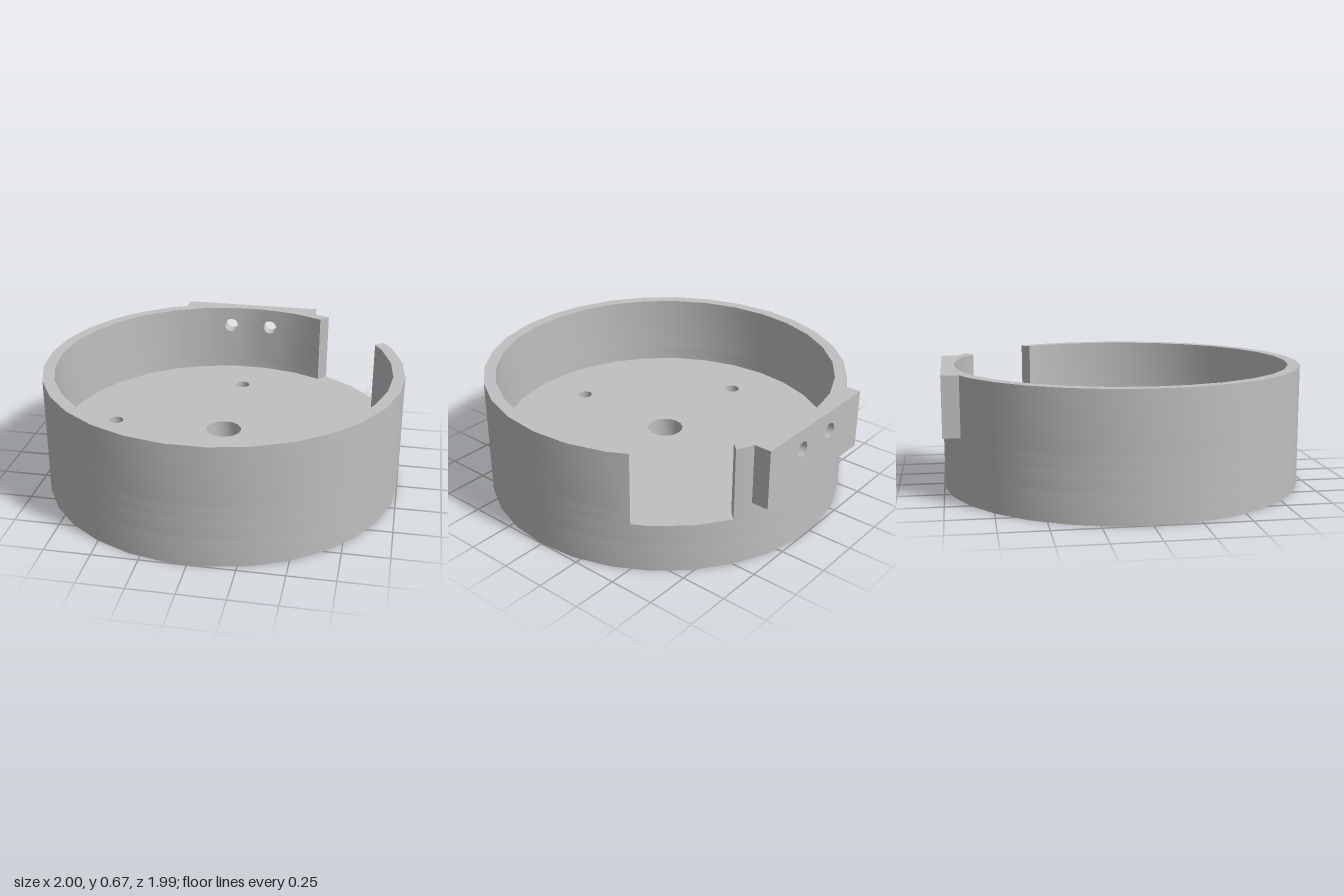
import * as THREE from 'three';
import { mergeGeometries, toCreasedNormals } from 'three/addons/utils/BufferGeometryUtils.js';

const OUTER = 1, INNER = 0.935, HEIGHT = 0.67, FLOOR = 0.27, BLOCK_Y = 0.34, POCKET = 0.16;
const rad = THREE.MathUtils.degToRad;

// Point at angle t (degrees) on a 30-sided circle of radius r
function onCircle(r, t) {
  const k = r * Math.cos(rad(6)) / Math.cos(rad(((t % 12) + 12) % 12 - 6));
  return new THREE.Vector2(k * Math.cos(rad(t)), k * Math.sin(rad(t)));
}

function arc(r, from, to) {
  const pts = [onCircle(r, from)];
  for (let t = Math.floor(from / 12) * 12 + 12; t < to - 0.01; t += 12) pts.push(onCircle(r, t));
  pts.push(onCircle(r, to));
  return pts;
}

function polygonHole(x, y, r, sides) {
  const pts = [];
  for (let i = 0; i < sides; i++) {
    const a = -i * 2 * Math.PI / sides;
    pts.push(new THREE.Vector2(x + r * Math.cos(a), y + r * Math.sin(a)));
  }
  return new THREE.Path(pts);
}

// Upright extrusion of a plan shape (shape y points to the back)
function slab(shape, y0, y1) {
  const g = new THREE.ExtrudeGeometry(shape, { depth: y1 - y0, bevelEnabled: false });
  g.rotateX(-Math.PI / 2).translate(0, y0, 0);
  return toCreasedNormals(g, 0.5);
}

function floorShape(centreHole) {
  const s = new THREE.Shape(arc(OUTER, 0, 360).slice(0, -1));
  s.holes.push(centreHole);
  for (const [x, y] of [[1, 0], [-1, 0], [0, 1], [0, -1]]) {
    s.holes.push(polygonHole(x * 0.64, y * 0.64, 0.042, 16));
  }
  return s;
}

function wallShape(o0, o1, i0, i1) {
  return new THREE.Shape([...arc(OUTER, o0, o1), ...arc(INNER, i0, i1).reverse()]);
}

// Rear block: strips with a flat back and a front that follows the inner wall
function blockGeometry() {
  const xs = [-0.41, -0.289, -0.19, -0.07, 0.07, 0.19, 0.289, 0.41];
  const innerZ = x => -onCircle(INNER, THREE.MathUtils.radToDeg(Math.acos(x / INNER))).y;
  const strips = [];
  for (let i = 0; i < xs.length - 1; i++) {
    const a = xs[i], b = xs[i + 1];
    const s = new THREE.Shape([[a, BLOCK_Y], [b, BLOCK_Y], [b, HEIGHT], [a, HEIGHT]]
      .map(p => new THREE.Vector2(...p)));
    if (i === 2 || i === 4) s.holes.push(polygonHole(i === 2 ? -0.125 : 0.125, 0.555, 0.042, 16));
    const g = new THREE.ExtrudeGeometry(s, { depth: 1, bevelEnabled: false });
    const p = g.attributes.position;
    for (let v = 0; v < p.count; v++) {
      const t = (p.getX(v) - a) / (b - a);
      p.setZ(v, p.getZ(v) > 0.5 ? THREE.MathUtils.lerp(innerZ(a), innerZ(b), t) : -1);
    }
    strips.push(g);
  }
  return toCreasedNormals(mergeGeometries(strips), 0.5);
}

export function createModel() {
  const group = new THREE.Group();
  const grey = new THREE.MeshStandardMaterial({ color: 0xc0c0c0 });
  grey.name = 'plain grey';
  const add = (name, geometry) => {
    const mesh = new THREE.Mesh(geometry, grey);
    mesh.name = name;
    group.add(mesh);
  };

  // Thick floor: hexagonal pocket below, round bore above
  add('floorWithHexPocket', slab(floorShape(polygonHole(0, 0, 0.19, 6)), 0, POCKET));
  add('floorWithRoundBore', slab(floorShape(polygonHole(0, 0, 0.1, 16)), POCKET, FLOOR));

  // Rim wall, open at the slot, and higher up also where the block sits
  add('lowerWall', slab(wallShape(59.8, 390.2, 60.83, 389.17), FLOOR, BLOCK_Y));
  add('upperWall', slab(wallShape(114.2, 390.2, 116, 389.17), BLOCK_Y, HEIGHT));
  add('wallBesideSlot', slab(wallShape(59.8, 65.8, 60.83, 64), BLOCK_Y, HEIGHT));

  // Mounting block with two screw holes
  add('mountingBlock', blockGeometry());
  return group;
}
